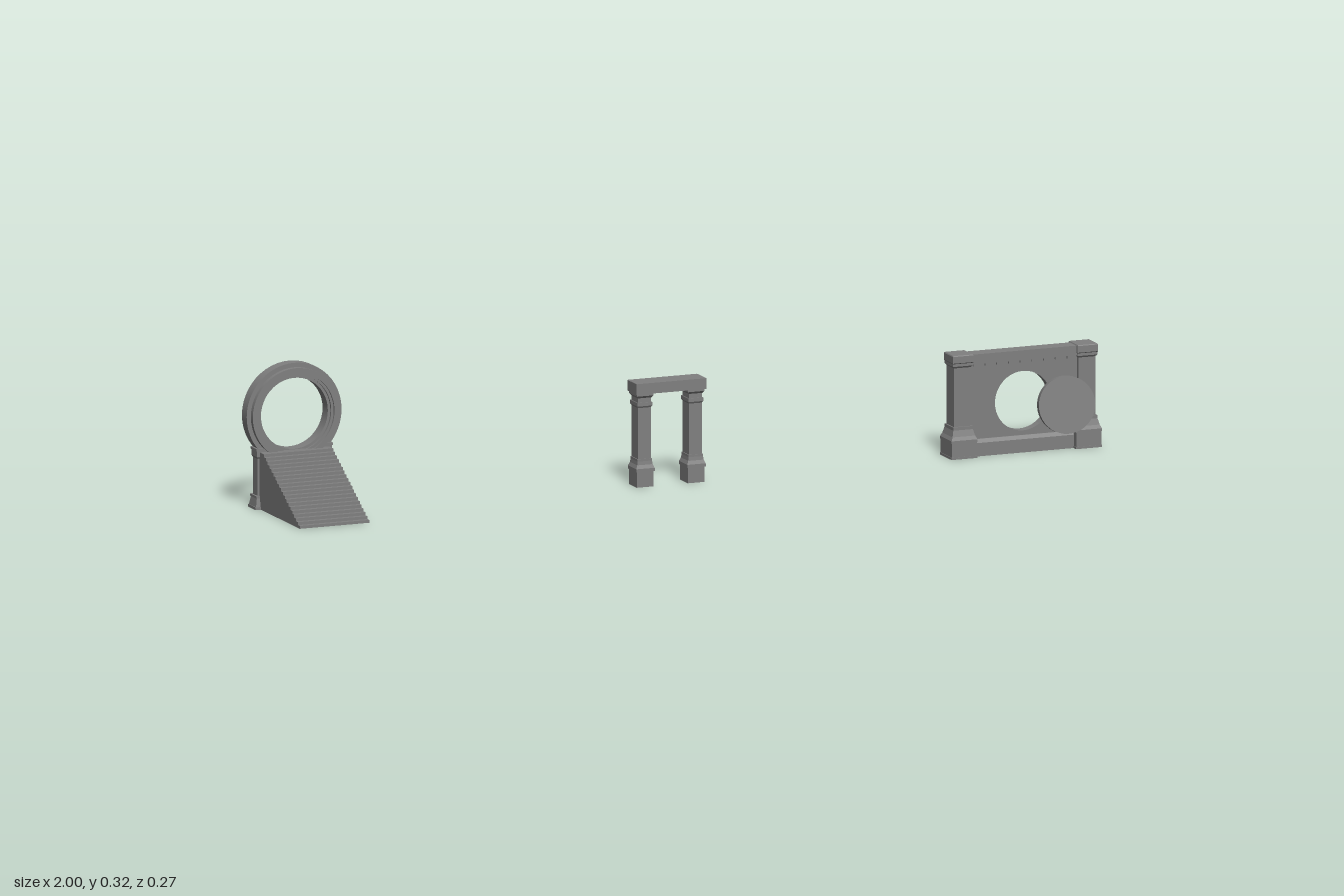
import * as THREE from 'three';
import { toCreasedNormals } from 'three/addons/utils/BufferGeometryUtils.js';

const stone = new THREE.MeshStandardMaterial({ color: 0x808080 });

function add(parent, name, geometry, x = 0, y = 0, z = 0) {
  const mesh = new THREE.Mesh(geometry, stone);
  mesh.name = name;
  mesh.position.set(x, y, z);
  parent.add(mesh);
  return mesh;
}

function box(parent, name, w, h, d, x, y, z) {
  return add(parent, name, new THREE.BoxGeometry(w, h, d), x, y + h / 2, z);
}

// Rectangular column from rows of [y, half width, half depth], with flat sides
function column(rows) {
  const pos = [];
  const ring = ([y, a, b]) => [[-a, y, b], [a, y, b], [a, y, -b], [-a, y, -b]];
  const quad = (a, b, c, d) => pos.push(...a, ...b, ...c, ...a, ...c, ...d);
  for (let i = 0; i < rows.length - 1; i++) {
    const lo = ring(rows[i]), hi = ring(rows[i + 1]);
    for (let k = 0; k < 4; k++) {
      const n = (k + 1) % 4;
      quad(lo[k], lo[n], hi[n], hi[k]);
    }
  }
  const bottom = ring(rows[0]), top = ring(rows[rows.length - 1]);
  quad(...top);
  quad(...bottom.reverse());
  const g = new THREE.BufferGeometry();
  g.setAttribute('position', new THREE.Float32BufferAttribute(pos, 3));
  g.computeVertexNormals();
  return g;
}

// Round ring portal at the head of a stair
function ringPortal() {
  const g = new THREE.Group();
  g.name = 'ringPortal';
  const zc = -0.108;

  const half = [[0.08, 0.015], [0.086, 0.015], [0.086, 0.02], [0.092, 0.02],
    [0.092, 0.0245], [0.1035, 0.0245], [0.1035, 0.0135], [0.1135, 0.0135]];
  const profile = [
    ...half.map(([r, z]) => [r, -z]),
    ...half.slice().reverse(),
    [half[0][0], -half[0][1]],
  ].map(([r, z]) => new THREE.Vector2(r, z));
  const ring = toCreasedNormals(new THREE.LatheGeometry(profile, 48).toNonIndexed(), 0.5);
  ring.rotateX(Math.PI / 2);
  add(g, 'ring', ring, 0, 0.209, zc);

  // Stair as one stepped side profile
  const steps = 20, run = 0.0107, rise = 0.0064, width = 0.166;
  const s = new THREE.Shape();
  s.moveTo(0.134, 0);
  for (let i = 0; i < steps; i++) {
    s.lineTo(0.134 - i * run, (i + 1) * rise);
    s.lineTo(0.134 - (i + 1) * run, (i + 1) * rise);
  }
  s.lineTo(-0.1, steps * rise);
  s.lineTo(-0.1, 0);
  const stair = new THREE.ExtrudeGeometry(s, { depth: width, bevelEnabled: false });
  stair.rotateY(-Math.PI / 2);
  add(g, 'stair', stair, width / 2, 0, 0);

  box(g, 'backPanel', 0.15, 0.126, 0.018, 0, 0, zc);
  const post = column([[0, 0.0215, 0.0215], [0.006, 0.0215, 0.0215], [0.006, 0.02, 0.02],
    [0.025, 0.0165, 0.0165], [0.025, 0.018, 0.018], [0.03, 0.018, 0.018], [0.03, 0.0135, 0.0135],
    [0.113, 0.0135, 0.0135], [0.118, 0.016, 0.016], [0.131, 0.016, 0.016],
    [0.131, 0.0175, 0.0175], [0.136, 0.0175, 0.0175]]);
  for (const side of [-1, 1]) add(g, 'portalPost', post, side * 0.074, 0, zc);
  g.position.x = -0.886;
  return g;
}

// Plain gateway of two pillars and a lintel
function gateway() {
  const g = new THREE.Group();
  g.name = 'gateway';
  const pillar = column([[0, 0.02, 0.022], [0.035, 0.02, 0.022], [0.035, 0.022, 0.024],
    [0.042, 0.022, 0.024], [0.05, 0.0185, 0.0205], [0.058, 0.0175, 0.0195],
    [0.063, 0.0175, 0.0195], [0.063, 0.0155, 0.0175], [0.178, 0.0155, 0.0175],
    [0.182, 0.018, 0.02], [0.19, 0.018, 0.02], [0.19, 0.016, 0.018],
    [0.2, 0.016, 0.018], [0.205, 0.02, 0.0225], [0.21, 0.02, 0.0225]]);
  for (const side of [-1, 1]) add(g, 'pillar', pillar, side * 0.061, 0, 0);
  box(g, 'lintel', 0.167, 0.024, 0.052, 0, 0.21, 0);
  g.position.x = -0.0345;
  return g;
}

// Wall with a round opening and a leaning stone disc
function discWall() {
  const g = new THREE.Group();
  g.name = 'discWall';
  const zc = -0.011;

  const panel = new THREE.Shape();
  panel.moveTo(-0.14, 0);
  panel.lineTo(0.14, 0);
  panel.lineTo(0.14, 0.215);
  panel.lineTo(-0.14, 0.215);
  const hole = new THREE.Path();
  hole.absarc(0, 0.115, 0.067, 0, Math.PI * 2, true);
  panel.holes.push(hole);
  const panelGeo = new THREE.ExtrudeGeometry(panel, { depth: 0.022, bevelEnabled: false, curveSegments: 20 });
  add(g, 'panel', panelGeo, 0, 0, zc - 0.011);

  const plinth = column([[0, 0.13, 0.019], [0.03, 0.13, 0.019], [0.038, 0.13, 0.013]]);
  add(g, 'plinth', plinth, 0, 0, zc);
  box(g, 'topBeam', 0.28, 0.022, 0.038, 0, 0.208, zc);

  // Small blocks under the beam, both sides
  for (let i = 0; i < 9; i++) {
    for (const side of [-1, 1]) {
      box(g, 'dentil', 0.016, 0.006, 0.006, (i - 4) * 0.028, 0.202, zc + side * 0.013);
    }
  }

  const post = column([[0, 0.031, 0.033], [0.005, 0.031, 0.033], [0.005, 0.03, 0.032],
    [0.036, 0.03, 0.032], [0.036, 0.031, 0.033], [0.042, 0.031, 0.033],
    [0.05, 0.027, 0.029], [0.064, 0.0235, 0.025], [0.071, 0.0235, 0.025], [0.071, 0.02, 0.0205],
    [0.203, 0.02, 0.0205], [0.207, 0.0235, 0.0235], [0.213, 0.0235, 0.0235], [0.215, 0.0245, 0.026],
    [0.23, 0.0245, 0.026], [0.232, 0.0235, 0.025]]);
  for (const side of [-1, 1]) add(g, 'wallPost', post, side * 0.149, 0, zc);

  // Disc leans back at the top and turns slightly outward
  const discGeo = new THREE.CylinderGeometry(0.064, 0.064, 0.017, 40);
  discGeo.rotateX(Math.PI / 2);
  const disc = add(g, 'disc', discGeo, 0.093, 0.103, 0.0245);
  disc.rotation.set(-0.11, -0.16, 0);
  g.position.x = 0.8175;
  return g;
}

export function createModel() {
  const model = new THREE.Group();
  model.name = 'stoneGateways';
  model.add(ringPortal(), gateway(), discWall());
  return model;
}
